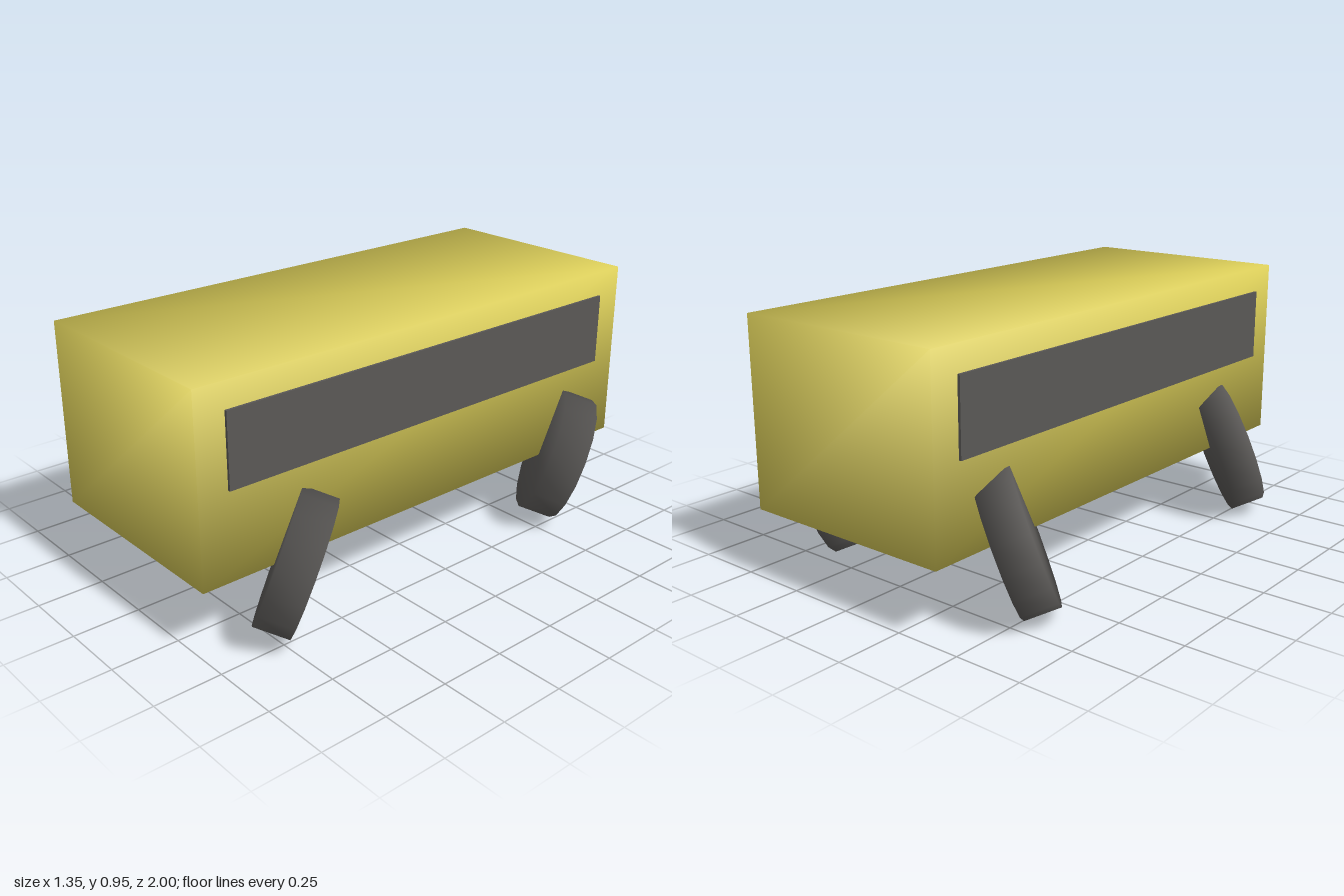
import * as THREE from 'three';
import { mergeVertices } from 'three/addons/utils/BufferGeometryUtils.js';

// Weld shared corners so shading runs smoothly across the edges
function smooth(geometry) {
  geometry.deleteAttribute('normal');
  geometry.deleteAttribute('uv');
  const welded = mergeVertices(geometry, 1e-4);
  welded.computeVertexNormals();
  return welded;
}

export function createModel() {
  const model = new THREE.Group();
  model.name = 'van';

  const yellow = new THREE.MeshStandardMaterial({ color: 0xd9cc58 });
  yellow.name = 'bodyYellow';
  const grey = new THREE.MeshStandardMaterial({ color: 0x5a5856 });
  grey.name = 'darkGrey';

  const add = (name, geometry, material, x, y, z) => {
    const mesh = new THREE.Mesh(geometry, material);
    mesh.name = name;
    mesh.position.set(x, y, z);
    model.add(mesh);
    return mesh;
  };

  // Box body
  add('body', smooth(new THREE.BoxGeometry(0.84, 0.69, 2)), yellow, 0, 0.605, 0);

  const windowGeometry = new THREE.BoxGeometry(0.0098, 0.27, 1.775);
  const wheelGeometry = smooth(new THREE.CylinderGeometry(0.247, 0.247, 0.13, 16));

  // All four wheels lean and turn the same way
  const axle = new THREE.Vector3(0.675, -0.336, -0.657).normalize();
  const up = new THREE.Vector3(0, 1, 0);

  for (const [side, sx] of [['left', 1], ['right', -1]]) {
    // Long side window
    add(`${side}Window`, windowGeometry, grey, sx * 0.4248, 0.72, 0);

    for (const [end, sz] of [['Front', 1], ['Rear', -1]]) {
      const wheel = add(`${side}${end}Wheel`, wheelGeometry, grey, sx * 0.45, 0.257, sz * 0.655);
      wheel.quaternion.setFromUnitVectors(up, axle);
    }
  }
  return model;
}
